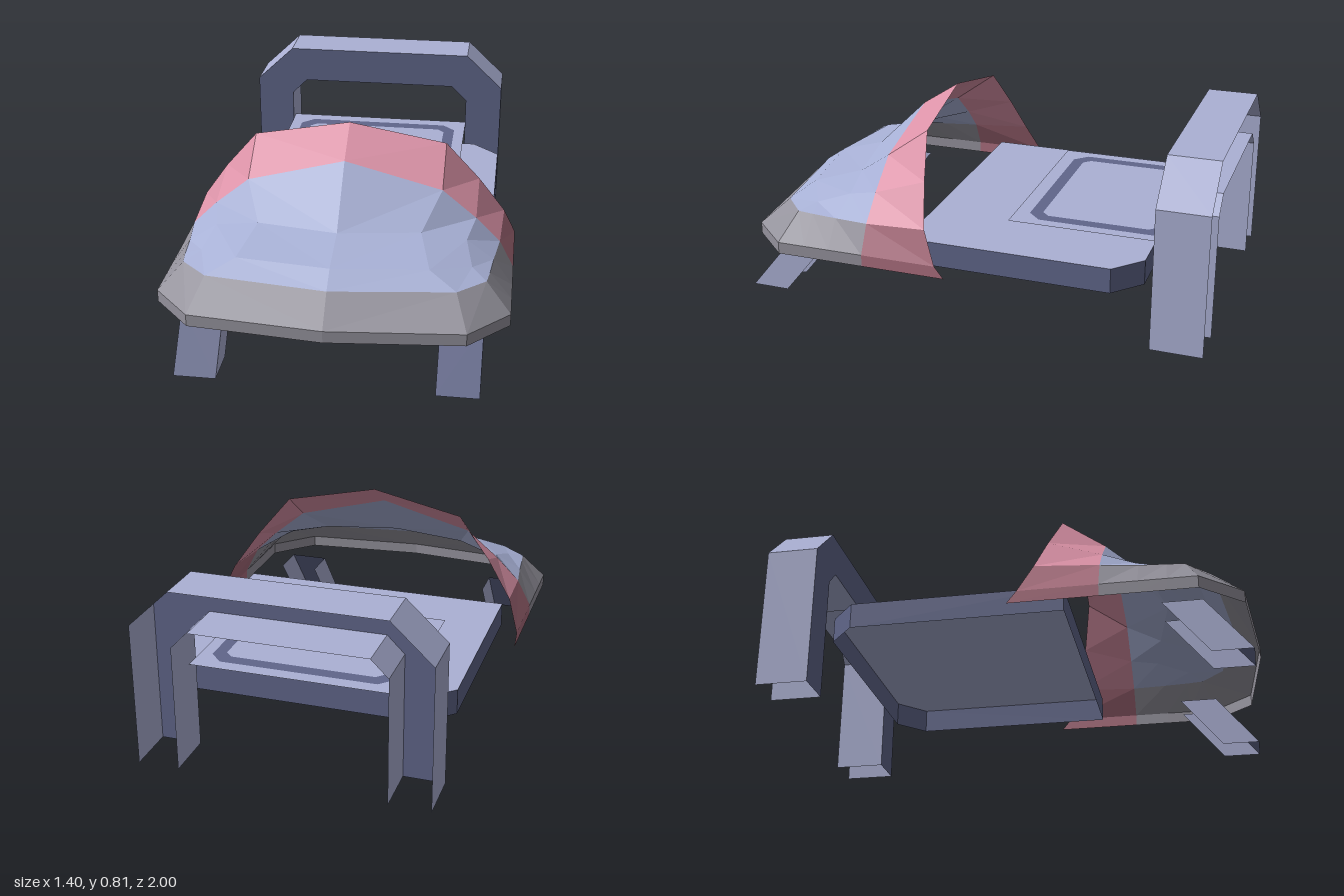
import * as THREE from 'three';

const mat = (name, color) => {
  const m = new THREE.MeshStandardMaterial({ color, side: THREE.DoubleSide, flatShading: true });
  m.name = name;
  return m;
};

// Flat-shaded surface through rows of points; flip swaps the quad diagonal
function grid(rows, flip = false) {
  const pos = [];
  for (let r = 0; r < rows.length - 1; r++) {
    for (let j = 0; j < rows[r].length - 1; j++) {
      const a = rows[r][j], b = rows[r + 1][j], c = rows[r + 1][j + 1], d = rows[r][j + 1];
      if (flip) pos.push(...a, ...b, ...c, ...a, ...c, ...d);
      else pos.push(...a, ...b, ...d, ...b, ...c, ...d);
    }
  }
  const g = new THREE.BufferGeometry();
  g.setAttribute('position', new THREE.Float32BufferAttribute(pos, 3));
  g.computeVertexNormals();
  return g;
}

const mirrorRows = rows => rows.map(row => row.map(([x, y, z]) => [-x, y, z]).reverse());

// Flat horizontal face from [x, z] points, with an optional hole
function flat(points, y, hole) {
  const toV = ([x, z]) => new THREE.Vector2(x, -z);
  const s = new THREE.Shape(points.map(toV));
  if (hole) s.holes.push(new THREE.Path([...hole].reverse().map(toV)));
  return new THREE.ShapeGeometry(s).rotateX(-Math.PI / 2).translate(0, y, 0);
}

// Rectangle with cut corners
const cutRect = (x, z0, z1, c) => [
  [-x + c, z1], [x - c, z1], [x, z1 - c], [x, z0 + c],
  [x - c, z0], [-x + c, z0], [-x, z0 + c], [-x, z1 - c],
];

export function createModel() {
  const root = new THREE.Group();
  const frame = mat('frame lavender', 0xabb0d4);
  const slate = mat('frame slate', 0x60668a);
  const blue = mat('blanket blue', 0xa8b1d6);
  const pink = mat('fold pink', 0xdc93a8);
  const darkPink = mat('fold side pink', 0xab6e7e);
  const grey = mat('hem grey', 0x94929c);

  const add = (name, geo, m, parent = root) => {
    const mesh = new THREE.Mesh(geo, m);
    mesh.name = name;
    parent.add(mesh);
  };
  const addPair = (name, rows, m, parent) => {
    add(name + 'Left', grid(rows), m, parent);
    add(name + 'Right', grid(mirrorRows(rows), true), m, parent);
  };

  // Headboard arch: a channel open at the back, with a slate front
  const outer = [[-0.6, 0], [-0.6, 0.6], [-0.43, 0.76], [0.43, 0.76], [0.6, 0.6], [0.6, 0]];
  const inner = [[-0.43, 0], [-0.43, 0.53], [-0.36, 0.6], [0.36, 0.6], [0.43, 0.53], [0.43, 0]];
  const at = (path, z) => path.map(([x, y]) => [x, y, z]);
  add('headboardOuter', grid([at(outer, -1), at(outer, -0.785)]), frame);
  add('headboardFront', grid([at(outer, -0.785), at(inner, -0.785)]), slate);
  add('headboardInner', grid([at(inner, -0.785), at(inner, -1)]), frame);

  // Bed base: top and slate skirt, open underneath
  const base = [[-0.6, 0.25], [0.6, 0.25], [0.6, -0.62], [0.48, -0.73], [-0.48, -0.73], [-0.6, -0.62]];
  const loop = [...base, base[0]];
  add('baseTop', flat(base, 0.325), frame);
  add('baseSkirt', grid([0.325, 0.22].map(y => loop.map(([x, z]) => [x, y, z]))), slate);

  // Raised pillow sheet with an inlaid trim ring
  const pillowY = 0.39;
  const ringOuter = cutRect(0.38, -0.79, -0.2, 0.055);
  const ringInner = cutRect(0.33, -0.735, -0.25, 0.03);
  const sheet = [[-0.43, -0.14], [0.43, -0.14], [0.43, -0.85], [-0.43, -0.85]];
  add('pillowBorder', flat(sheet, pillowY, ringOuter), frame);
  add('pillowTrim', flat(ringOuter, pillowY, ringInner), slate);
  add('pillowCentre', flat(ringInner, pillowY), frame);

  // Slanted front feet: open channels with a slate front
  const footStrip = (...pts) => [[0.22, 0.18], [0, 0]].map(([y, dz]) => pts.map(([x, z]) => [x, y, z - dz]));
  addPair('footInner', footStrip([0.43, 0.81], [0.43, 0.97]), frame);
  addPair('footFront', footStrip([0.43, 0.97], [0.6, 0.97]), slate);
  addPair('footOuter', footStrip([0.6, 0.97], [0.6, 0.81]), frame);

  // Blanket: left half, rows run from the raised fold to the foot end
  const rows = [
    [[0, 0.81, 0.24], [0.4, 0.73, 0.22], [0.54, 0.56, 0.18], [0.65, 0.4, 0.14]],
    [[0, 0.705, 0.4], [0.4, 0.6, 0.4], [0.54, 0.485, 0.4], [0.64, 0.385, 0.4]],
    [[0, 0.49, 0.62], [0.33, 0.485, 0.56], [0.51, 0.45, 0.53], [0.62, 0.38, 0.55]],
    [[0, 0.435, 0.81], [0.38, 0.43, 0.76], [0.54, 0.405, 0.67], [0.61, 0.38, 0.66]],
    [[0, 0.38, 0.89], [0.49, 0.38, 0.83], [0.6, 0.38, 0.73], [0.6, 0.38, 0.73]],
  ];
  const sideZ = [0.08, 0.4, 0.55, 0.66, 0.78];
  const side = rows.map((row, i) => [row[3], [0.7, 0.27, sideZ[i]], [0.7, 0.22, i ? sideZ[i] : 0.04]]);
  const rim = y => [[0, y, 1], [0.54, y, 0.95], [0.7, y, 0.78]];

  const blanket = new THREE.Group();
  blanket.name = 'blanket';
  root.add(blanket);
  addPair('fold', rows.slice(0, 2), pink, blanket);
  addPair('foldSide', side.slice(0, 2), darkPink, blanket);
  addPair('cover', rows.slice(1), blue, blanket);
  addPair('hemSide', side.slice(1), grey, blanket);
  addPair('hemFront', [rows[4].slice(0, 3), rim(0.27), rim(0.22)], grey, blanket);

  return root;
}
